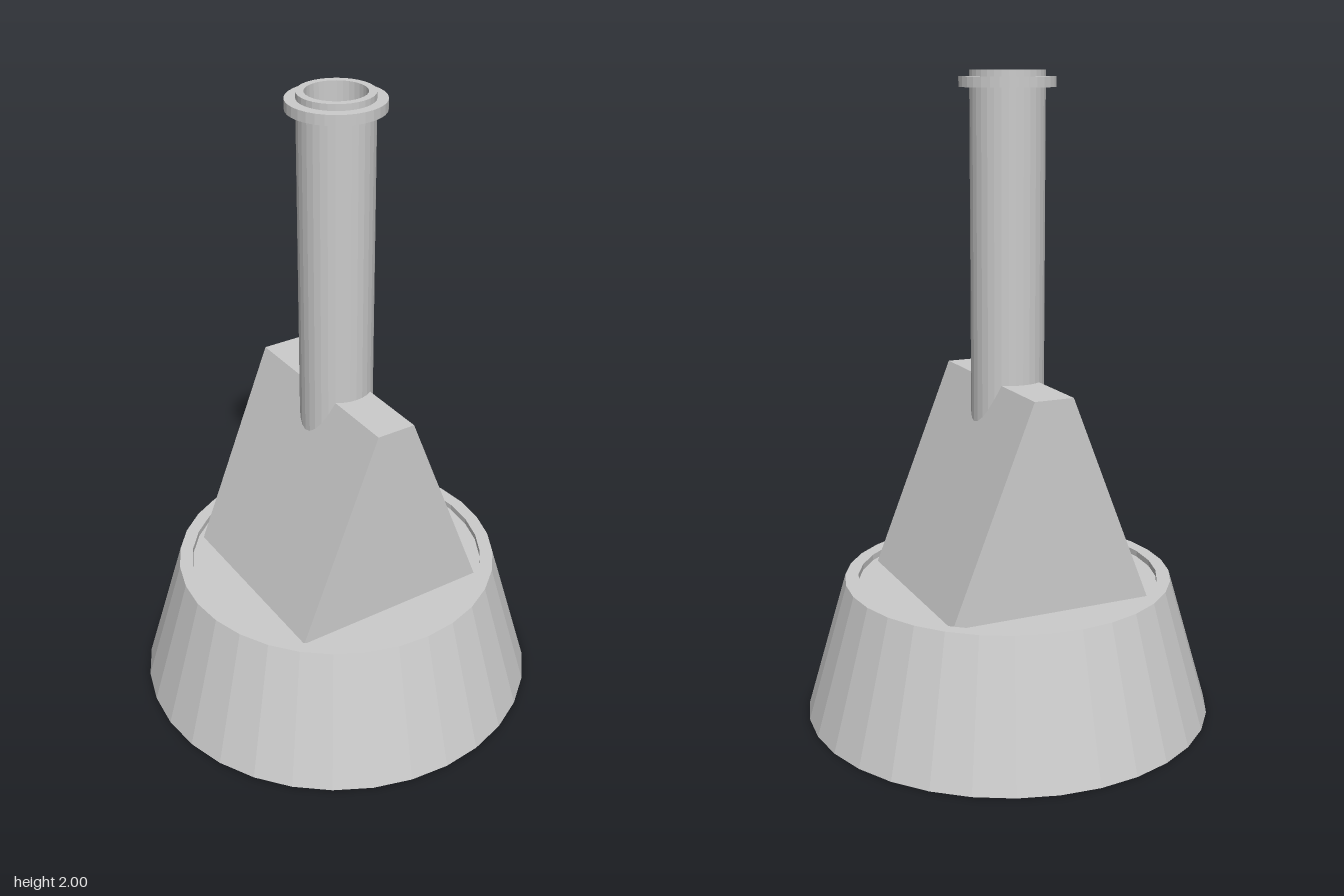
import * as THREE from 'three';

const SIDES = 32;
const material = new THREE.MeshStandardMaterial({ color: 0xcccccc, flatShading: true });

// Turned part from [radius, height] pairs, listed so the outside goes upwards
function turned(name, profile) {
  const points = profile.map(([r, y]) => new THREE.Vector2(r, y));
  const mesh = new THREE.Mesh(new THREE.LatheGeometry(points, SIDES), material);
  mesh.name = name;
  return mesh;
}

export function createModel() {
  const group = new THREE.Group();
  group.name = 'pedestal';

  // Tapered base with a shallow recess in its top
  const floorY = 0.418;
  group.add(turned('base', [
    [0, 0], [0.643, 0], [0.517, 0.437], [0.475, 0.437], [0.475, floorY], [0, floorY],
  ]));

  // Wedge-shaped support standing in the recess
  const halfDepth = 0.324, halfTop = 0.063, topY = 1.072;
  const outline = new THREE.Shape([
    new THREE.Vector2(-0.324, floorY), new THREE.Vector2(0.324, floorY),
    new THREE.Vector2(halfTop, topY), new THREE.Vector2(-halfTop, topY),
  ]);
  const wedgeGeometry = new THREE.ExtrudeGeometry(outline, { depth: 2 * halfDepth, bevelEnabled: false });
  wedgeGeometry.translate(0, 0, -halfDepth);
  const wedge = new THREE.Mesh(wedgeGeometry, material);
  wedge.name = 'wedgeSupport';
  group.add(wedge);

  // Hollow pipe set into the wedge
  const pipeBottom = 0.9;
  group.add(turned('pipe', [
    [0.09, pipeBottom], [0.113, pipeBottom], [0.113, 2], [0.09, 2], [0.09, pipeBottom],
  ]));

  // Collar just below the mouth of the pipe
  group.add(turned('collar', [
    [0.113, 1.95], [0.145, 1.95], [0.145, 1.981], [0.113, 1.981],
  ]));

  return group;
}
